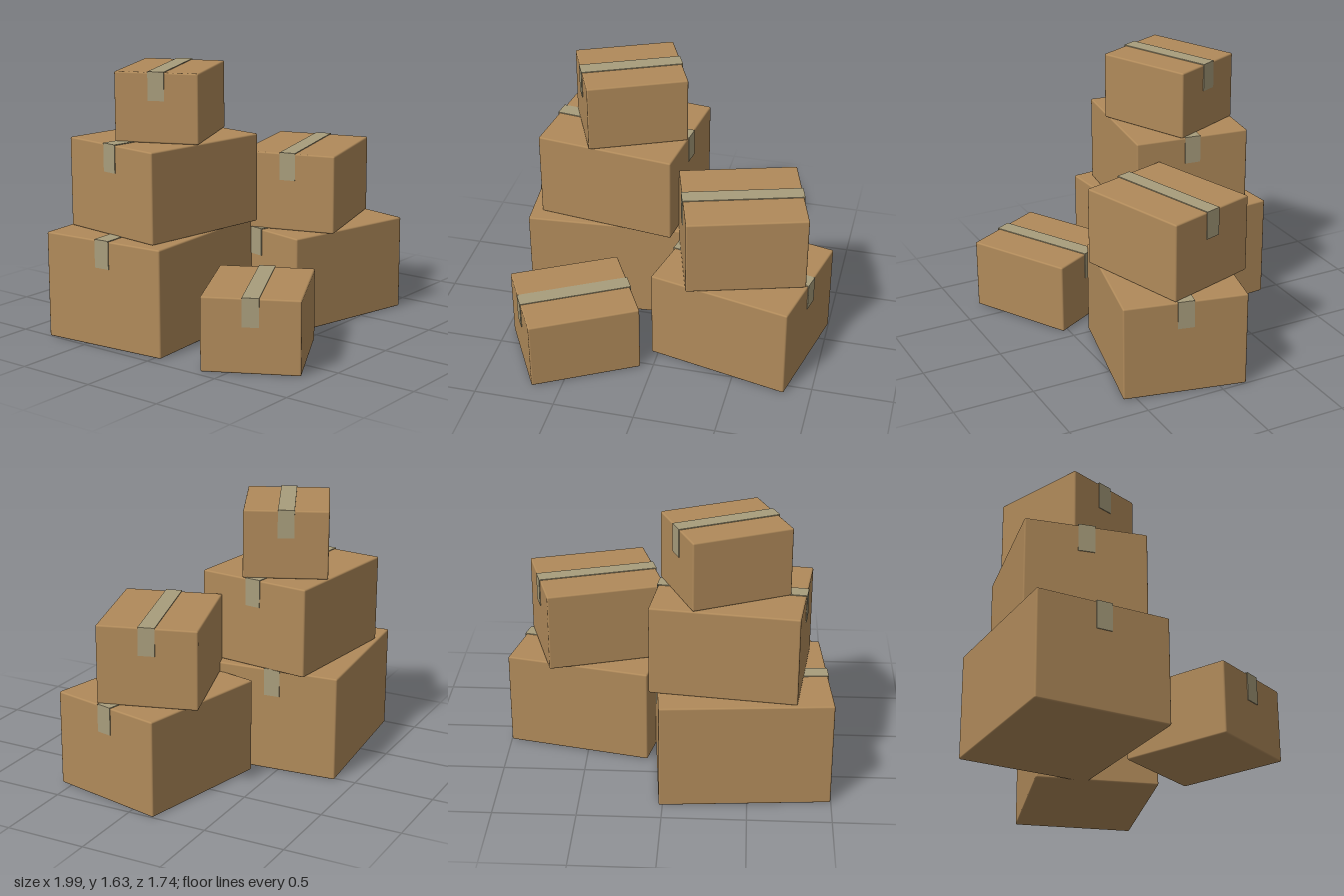
import * as THREE from 'three';
import { RoundedBoxGeometry } from 'three/addons/geometries/RoundedBoxGeometry.js';

const cardboard = new THREE.MeshStandardMaterial({ color: 0xb08a5a });
cardboard.name = 'cardboard brown';
const tape = new THREE.MeshStandardMaterial({ color: 0xa89d7c });
tape.name = 'packing tape';

const TAPE_WIDTH = 0.1;
const TAPE_DROP = 0.168;
const TAPE_THICK = 0.005;

// name, centre x, centre z, base y, width, height, depth, turn about y
const BOXES = [
  ['lowerBackBox', -0.455, -0.415, 0, 1.023, 0.655, 0.833, 0.08],
  ['middleBackBox', -0.39, -0.37, 0.655, 0.877, 0.55, 0.734, -0.125],
  ['topBackBox', -0.345, -0.353, 1.205, 0.62, 0.422, 0.515, 0.417],
  ['lowerSideBox', 0.478, 0.11, 0, 0.9, 0.593, 0.752, -0.221],
  ['upperSideBox', 0.459, 0.088, 0.593, 0.731, 0.485, 0.604, 0.297],
  ['smallFrontBox', -0.516, 0.449, 0, 0.689, 0.445, 0.58, 0.503],
];

function addMesh(group, name, geometry, material, x, y, z) {
  const mesh = new THREE.Mesh(geometry, material);
  mesh.name = name;
  mesh.position.set(x, y, z);
  group.add(mesh);
}

function makeBox([name, x, z, baseY, w, h, d, turn]) {
  const box = new THREE.Group();
  box.name = name;
  box.position.set(x, baseY, z);
  box.rotation.y = turn;

  // carton with softly rounded edges
  addMesh(box, 'carton', new RoundedBoxGeometry(w, h, d, 2, 0.01), cardboard, 0, h / 2, 0);

  // tape along the top seam, folded down over both ends
  addMesh(box, 'topTape', new THREE.BoxGeometry(w + 2 * TAPE_THICK, TAPE_THICK, TAPE_WIDTH),
    tape, 0, h + TAPE_THICK / 2, 0);
  for (const side of [-1, 1]) {
    addMesh(box, side > 0 ? 'leftEndTape' : 'rightEndTape',
      new THREE.BoxGeometry(TAPE_THICK, TAPE_DROP, TAPE_WIDTH),
      tape, side * (w + TAPE_THICK) / 2, h - TAPE_DROP / 2, 0);
  }
  return box;
}

export function createModel() {
  const model = new THREE.Group();
  model.name = 'boxStack';
  for (const spec of BOXES) model.add(makeBox(spec));
  return model;
}
